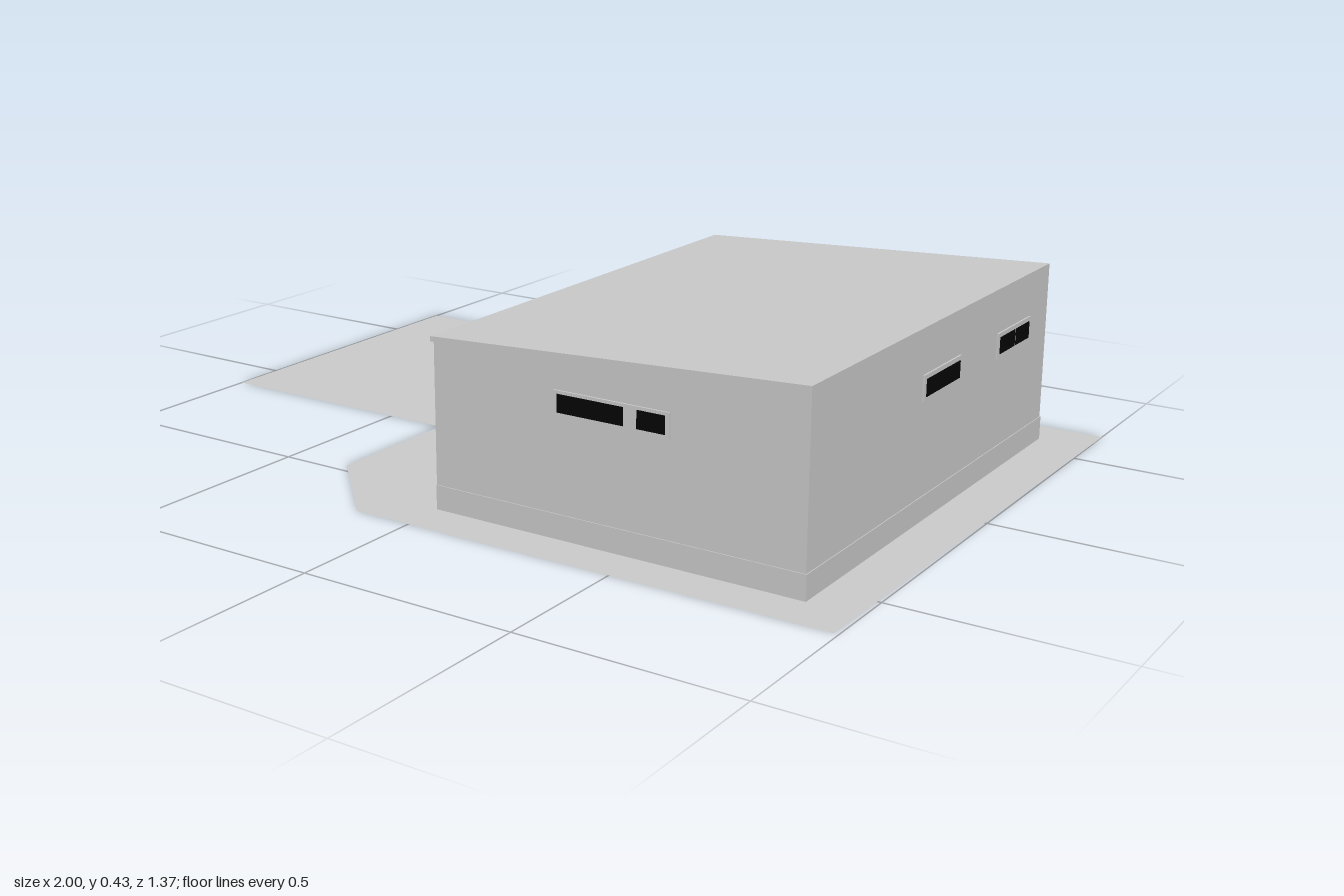
import * as THREE from 'three';

export function createModel() {
  const house = new THREE.Group();
  house.name = 'house';
  const grey = new THREE.MeshStandardMaterial({ color: 0xcccccc });
  grey.name = 'grey wall';
  const paving = new THREE.MeshStandardMaterial({ color: 0xcccccc, side: THREE.DoubleSide });
  paving.name = 'grey paving';
  const black = new THREE.MeshStandardMaterial({ color: 0x050505 });
  black.name = 'black glass';

  const add = (name, geometry, material = grey) => {
    const mesh = new THREE.Mesh(geometry, material);
    mesh.name = name;
    house.add(mesh);
    return mesh;
  };
  // Box given by its limits on each axis
  const box = (name, [x0, x1], [y0, y1], [z0, z1], material) => {
    const mesh = add(name, new THREE.BoxGeometry(x1 - x0, y1 - y0, z1 - z0), material);
    mesh.position.set((x0 + x1) / 2, (y0 + y1) / 2, (z0 + z1) / 2);
    return mesh;
  };
  const shape = (points) => new THREE.Shape(points.map(([x, y]) => new THREE.Vector2(x, y)));
  // Front-facing profile run from z0 to z1
  const run = (name, points, z0, z1) => {
    const geometry = new THREE.ExtrudeGeometry(shape(points), { depth: z1 - z0, bevelEnabled: false });
    add(name, geometry.translate(0, 0, z0));
  };

  // Flat paved plot
  const plot = [[-1, 0.68], [-1, -0.13], [-0.35, -0.13], [-0.35, -0.47], [-0.14, -0.68], [0.99, -0.675], [1, 0.685]];
  add('plot', new THREE.ShapeGeometry(shape(plot)).rotateX(-Math.PI / 2), paving);

  // Main body with sloping roof, porch recess and fascia
  const back = -0.59, front = 0.575, wall = 0.015, inner = 0.1;
  run('body', [
    [inner, 0], [0.878, 0], [0.878, 0.425], [-0.015, 0.381], [-0.015, 0.37], [-0.005, 0.37],
    [-0.005, 0.325], [0.02, 0.325], [0.02, 0.36], [inner, 0.36],
  ], back + wall, front - wall);

  // End walls closing the porch
  const end = [[-0.005, 0], [0.878, 0], [0.878, 0.425], [-0.015, 0.381], [-0.015, 0.37], [-0.005, 0.37]];
  run('backWall', end, back, back + wall);
  run('frontWall', end, front - wall, front);

  // Plinth courses
  const base = [0, 0.055];
  box('plinthFront', [-0.005, 0.88], base, [front, front + 0.002]);
  box('plinthBack', [-0.005, 0.88], base, [back - 0.002, back]);
  box('plinthSide', [0.878, 0.88], base, [back, front]);
  box('plinthPorch', [inner, inner + 0.006], base, [back + wall, front - wall]).position.x -= 0.005;

  // Front windows: frame with dark panes
  box('frontWindowFrame', [0.3, 0.575], [0.265, 0.32], [front, front + 0.004]);
  for (const span of [[0.31, 0.468], [0.5, 0.565]]) {
    box('frontPane', span, [0.274, 0.313], [front, front + 0.006], black);
  }

  // Side windows
  for (const span of [[-0.1, 0.085], [-0.482, -0.298]]) {
    box('sideWindowFrame', [0.878, 0.882], [0.266, 0.324], span);
  }
  for (const span of [[-0.09, 0.075], [-0.39, -0.308], [-0.472, -0.397]]) {
    box('sidePane', [0.878, 0.884], [0.276, 0.314], span, black);
  }

  // Porch windows
  box('porchWindowFrame', [inner - 0.003, inner], [0.057, 0.315], [0.285, 0.558]);
  for (let i = 0; i < 4; i++) {
    const z = 0.297 + i * 0.065;
    box('porchPane', [inner - 0.006, inner], [0.068, 0.305], [z, z + 0.053], black);
  }

  // Door with a raised leaf and a bowed handle
  box('doorFrame', [inner - 0.004, inner], [0.06, 0.31], [0.06, 0.2]);
  box('doorLeaf', [inner - 0.008, inner], [0.06, 0.3], [0.07, 0.19]);
  const bow = new THREE.QuadraticBezierCurve3(
    new THREE.Vector3(inner - 0.008, 0.14, 0.085),
    new THREE.Vector3(inner - 0.03, 0.175, 0.085),
    new THREE.Vector3(inner - 0.008, 0.21, 0.085));
  add('doorHandle', new THREE.TubeGeometry(bow, 8, 0.003, 6));

  // Three steps up to the door landing
  [-0.085, -0.053, -0.018].forEach((x, i) => {
    box('step', [x, inner], [i * 0.02, i * 0.02 + 0.02], [-0.01, 0.2]);
  });

  return house;
}
